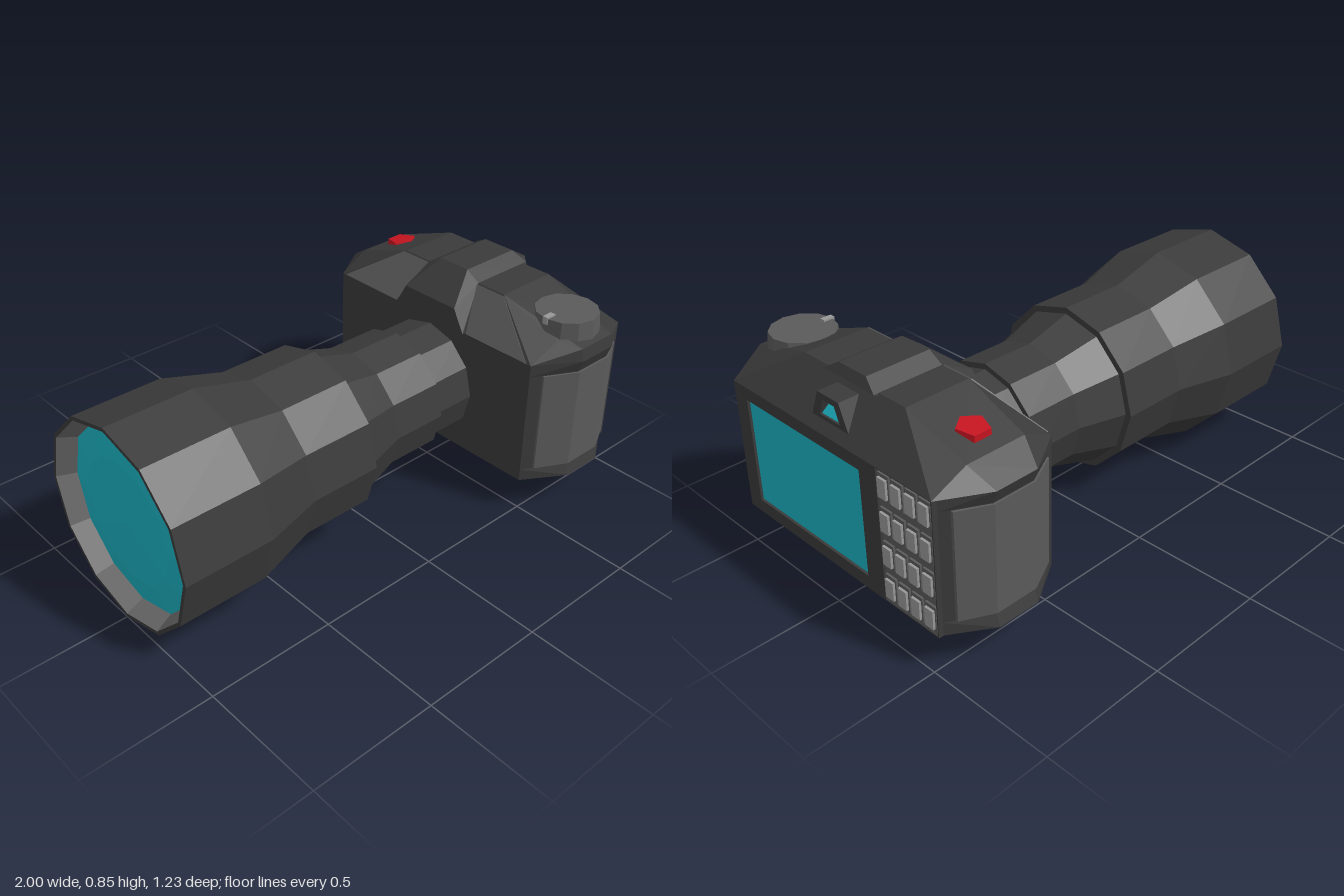
import * as THREE from 'three';
import { ConvexGeometry } from 'three/addons/geometries/ConvexGeometry.js';

const paint = (color) => new THREE.MeshStandardMaterial({ color, flatShading: true });
const DARK = paint(0x3a3a3a), GRIP = paint(0x5a5a5a), GLASS = paint(0x1cb2c2);
const RED = paint(0xc41420), KEY = paint(0x989898), RIM = paint(0x6a6a6a);

export function createModel() {
  const model = new THREE.Group();

  function add(name, geometry, material, parent = model) {
    const mesh = new THREE.Mesh(geometry, material);
    mesh.name = name;
    parent.add(mesh);
    return mesh;
  }
  const hull = (name, points, material) =>
    add(name, new ConvexGeometry(points.map((p) => new THREE.Vector3(...p))), material);
  // Repeat points on both sides of the z = 0 plane
  const mirror = (points) => points.flatMap(([x, y, z]) => [[x, y, z], [x, y, -z]]);

  // Turned part lying along x: profile rows are [x, radius], from back to front
  function turned(name, profile, material) {
    const points = profile.map(([x, r]) => new THREE.Vector2(r, -x));
    const mesh = add(name, new THREE.LatheGeometry(points, 12).rotateZ(Math.PI / 2), material);
    mesh.position.y = 0.4;
  }

  // Long lens barrel, inner rim and slightly domed glass
  turned('lensBarrel', [
    [0.52, 0.233], [0.295, 0.233], [0.295, 0.255], [0.07, 0.255], [-0.12, 0.31],
    [-0.12, 0.335], [-0.41, 0.335], [-0.65, 0.4], [-1, 0.4], [-1, 0.385],
  ], DARK);
  turned('lensRim', [[-1, 0.385], [-0.93, 0.355]], RIM);
  turned('lensGlass', [[-0.93, 0.36], [-0.955, 0.24], [-0.965, 0]], GLASS);

  // Body: eight-sided bands, flared at foot and shoulder
  const outline = (y, end) =>
    mirror([[0.48, y, 0.51], [0.65, y, end], [0.82, y, end], [0.97, y, 0.52]]);
  hull('bodyFoot', [...outline(0.145, 0.617), ...outline(0.195, 0.6)], DARK);
  hull('bodyCore', [...outline(0.195, 0.6), ...outline(0.612, 0.6)], DARK);
  hull('bodyShoulder', [...outline(0.612, 0.6), ...outline(0.66, 0.617)], DARK);

  // Side grips
  for (const side of [1, -1]) {
    const points = [];
    for (const y of [0.197, 0.61]) {
      for (const [x, z] of [[0.525, 0.542], [0.65, 0.608], [0.82, 0.608], [0.935, 0.55]]) {
        points.push([x, y, side * z], [x, y, side * (z - 0.05)]);
      }
    }
    hull(side > 0 ? 'leftGrip' : 'rightGrip', points, GRIP);
  }

  // Sloped roof and central hump over the lens
  hull('roof', [
    ...mirror([
      [0.48, 0.66, 0.51], [0.65, 0.66, 0.617], [0.82, 0.66, 0.617], [0.99, 0.66, 0.52],
      [0.6, 0.815, 0.26], [0.86, 0.815, 0.26], [0.61, 0.722, 0.52], [0.85, 0.722, 0.52],
    ]),
    [0.65, 0.708, 0.607], [0.82, 0.708, 0.607],
  ], DARK);
  hull('hump', mirror([
    [0.6, 0.85, 0.07], [0.86, 0.85, 0.07], [0.88, 0.815, 0.13], [0.6, 0.815, 0.13],
    [0.47, 0.75, 0.13], [0.47, 0.66, 0.18], [0.6, 0.66, 0.18],
  ]), DARK);

  // Pale panels on the front slope of the roof
  for (const side of [1, -1]) {
    const points = [[0.48, 0.66, 0.49], [0.48, 0.66, 0.19], [0.596, 0.81, 0.13], [0.596, 0.81, 0.265]]
      .map(([x, y, z]) => [x, y, side * z]);
    hull(side > 0 ? 'leftSlopePanel' : 'rightSlopePanel',
      [...points, ...points.map(([x, y, z]) => [x - 0.004, y + 0.003, z])], GRIP);
  }

  // Flat plate facing +x, drawn as [z, y] corners, with optional holes
  function plate(name, corners, holes, x, depth, material) {
    const path = (list) => list.map(([z, y]) => new THREE.Vector2(-z, y));
    const shape = new THREE.Shape(path(corners));
    shape.holes = holes.map((h) => new THREE.Path(path(h)));
    const geometry = new THREE.ExtrudeGeometry(shape, { depth, bevelEnabled: false });
    add(name, geometry.rotateY(Math.PI / 2), material).position.x = x;
  }
  const rect = (z0, z1, y0, y1) => [[z0, y0], [z1, y0], [z1, y1], [z0, y1]];

  // Back plate with recessed screen and keypad
  const screen = rect(0.45, -0.172, 0.197, 0.61);
  const keypad = rect(-0.258, -0.515, 0.15, 0.657);
  plate('backPlate', rect(0.52, -0.52, 0.145, 0.66), [screen, keypad], 0.968, 0.022, DARK);
  plate('screen', screen, [], 0.96, 0.02, GLASS);
  plate('keypad', keypad, [], 0.96, 0.02, GRIP);
  const keys = new THREE.Group();
  keys.name = 'keys';
  model.add(keys);
  for (let row = 0; row < 4; row++) {
    for (let col = 0; col < 4; col++) {
      const y = 0.598 - row * 0.13, z = -0.29 - col * 0.0645;
      add('keyBase', new THREE.BoxGeometry(0.02, 0.098, 0.052), GRIP, keys).position.set(0.978, y, z);
      add('keyCap', new THREE.BoxGeometry(0.02, 0.072, 0.04), KEY, keys).position.set(0.987, y, z);
    }
  }

  // Viewfinder hood and window
  plate('viewfinderHood', [[0.1, 0.68], [-0.1, 0.68], [-0.055, 0.79], [0.055, 0.79]],
    [[[0.052, 0.708], [-0.052, 0.708], [-0.03, 0.767], [0.03, 0.767]]], 0.87, 0.092, DARK);
  hull('viewfinderWindow', mirror([
    [0.955, 0.706, 0.053], [0.912, 0.768, 0.031], [0.9, 0.706, 0.053], [0.88, 0.768, 0.031],
  ]), GLASS);

  // Mode dial with marker
  add('dial', new THREE.CylinderGeometry(0.122, 0.13, 0.09, 12), GRIP).position.set(0.73, 0.745, 0.46);
  add('dialMarker', new THREE.BoxGeometry(0.045, 0.03, 0.022), KEY).position.set(0.628, 0.782, 0.457);

  // Shutter button: a tilted five-sided cap
  const button = add('shutterButton', new THREE.CylinderGeometry(0.058, 0.065, 0.05, 5), RED);
  button.position.set(0.735, 0.745, -0.42);
  button.rotation.x = -0.12;

  return model;
}
